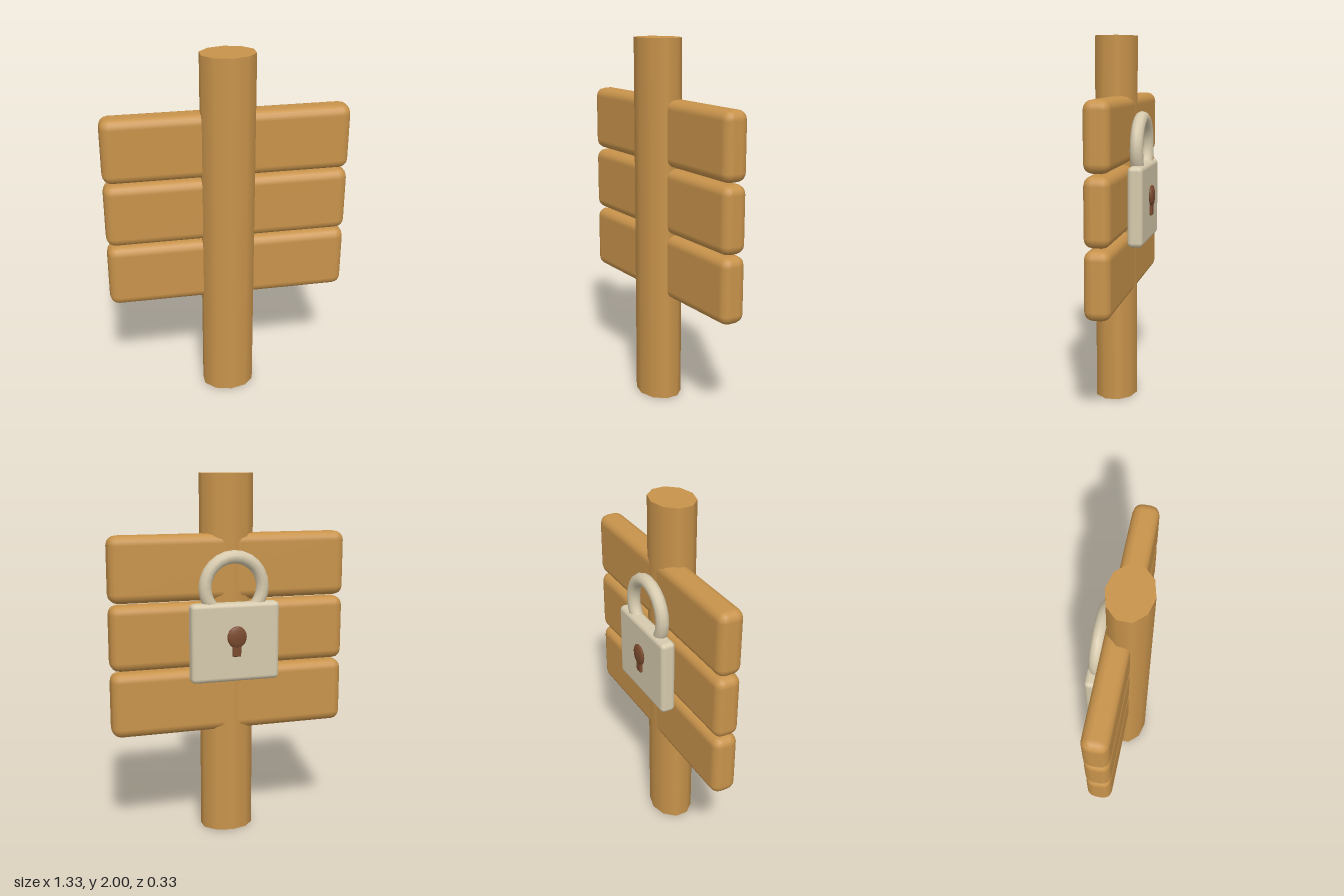
import * as THREE from 'three';
import { RoundedBoxGeometry } from 'three/addons/geometries/RoundedBoxGeometry.js';

const material = (name, color) => {
  const m = new THREE.MeshStandardMaterial({ color });
  m.name = name;
  return m;
};

export function createModel() {
  const model = new THREE.Group();
  model.name = 'lockedSignpost';
  const wood = material('wood', 0xc8934b);
  const metal = material('paleMetal', 0xd6caad);
  const brown = material('keyholeBrown', 0x7a4a2e);

  const add = (name, geometry, mat, x, y, z) => {
    const mesh = new THREE.Mesh(geometry, mat);
    mesh.name = name;
    mesh.position.set(x, y, z);
    model.add(mesh);
    return mesh;
  };

  // Ten-sided post, slightly flattened front to back
  const post = add('post', new THREE.CylinderGeometry(1, 1, 2, 10), wood, 0, 1, 0.047);
  post.scale.set(0.149, 1, 0.118);

  // Three rounded planks
  for (let i = 0; i < 3; i++) {
    add('plank', new RoundedBoxGeometry(1.33, 0.357, 0.14, 2, 0.05), wood, 0, 0.772 + i * 0.366, 0.008);
  }

  // Padlock on the back: body and ring shackle sunk into it
  add('lockBody', new RoundedBoxGeometry(0.496, 0.43, 0.083, 2, 0.025), metal, 0, 1.105, -0.103);
  add('shackle', new THREE.TorusGeometry(0.162, 0.036, 10, 24), metal, 0, 1.402, -0.096);

  // Keyhole: flattened disc above a short slot
  const disc = add('keyholeDisc', new THREE.SphereGeometry(1, 16, 10), brown, 0, 1.138, -0.152);
  disc.scale.set(0.055, 0.06, 0.016);
  add('keyholeSlot', new RoundedBoxGeometry(0.048, 0.11, 0.024, 2, 0.008), brown, 0, 1.085, -0.146);

  return model;
}
